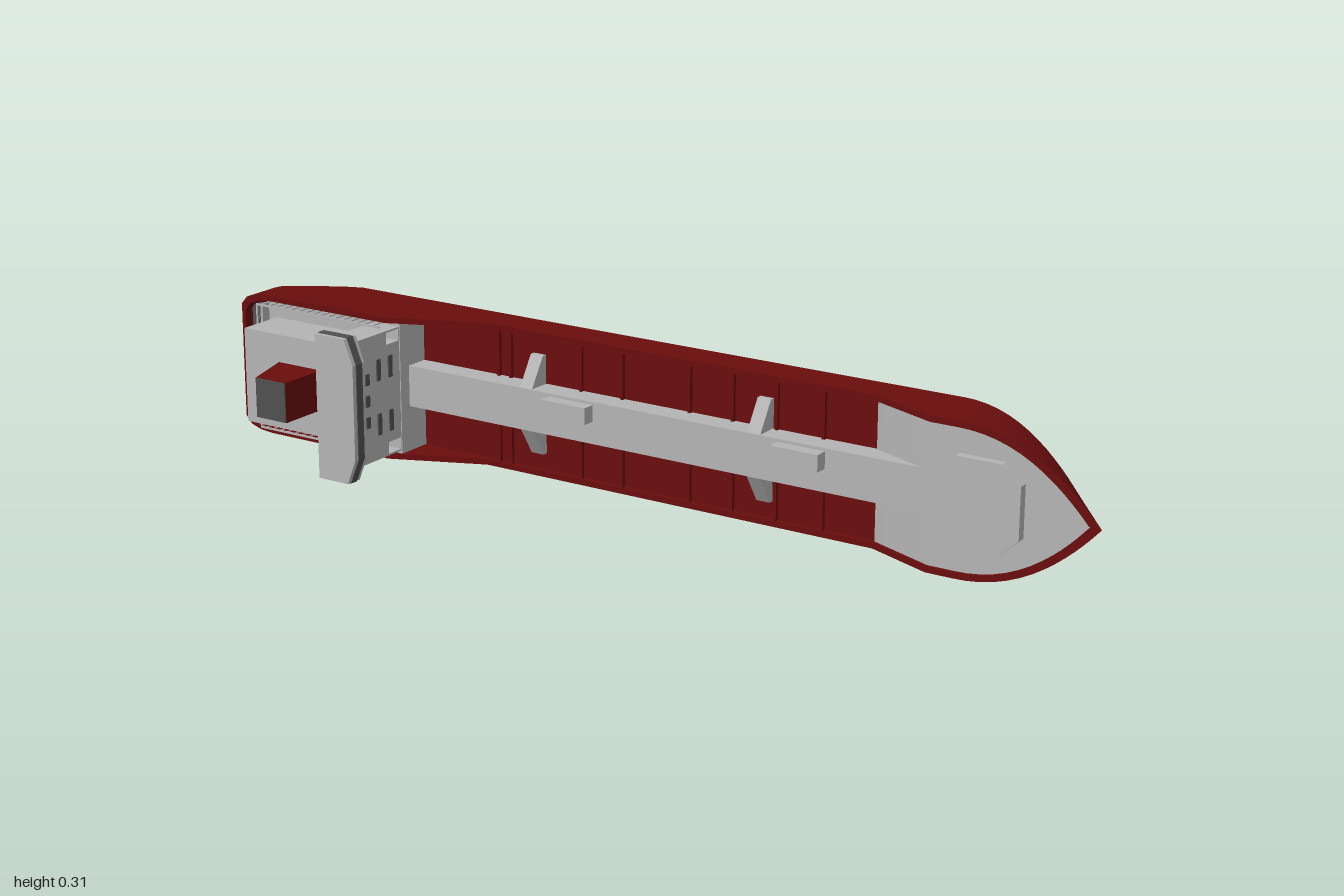
import * as THREE from 'three';
import { toCreasedNormals } from 'three/addons/utils/BufferGeometryUtils.js';

const red = new THREE.MeshStandardMaterial({ color: 0x6a0d0d, name: 'hullRed' });
const grey = new THREE.MeshStandardMaterial({ color: 0xb4b4b4, name: 'lightGrey' });
const dark = new THREE.MeshStandardMaterial({ color: 0x505050, name: 'darkGrey' });

// The ship lies on its side: bow to +x, deck facing +z, beam along y.
const HALF = 0.153, KEEL = -0.184, KNUCKLE = -0.108;

// Height of the hull's upper edge along the length
function sheer(x) {
  const pts = [[-1, -0.02], [-0.61, -0.02], [-0.414, -0.104], [0.5, -0.104], [0.645, -0.045], [1, -0.045]];
  for (let i = 1; i < pts.length; i++) {
    const [x0, z0] = pts[i - 1], [x1, z1] = pts[i];
    if (x <= x1) return z0 + (z1 - z0) * (x - x0) / (x1 - x0);
  }
  return -0.045;
}

// Half outline from stern centre to bow tip
function outline(stern, bowStart, bowTip) {
  const pts = [...stern, ...[-0.61, -0.414, 0.5, 0.645].map(x => [x, HALF])];
  for (let i = 0; i <= 16; i++) {
    const s = Math.sin(i / 16 * Math.PI / 2);
    pts.push([bowStart + (bowTip - bowStart) * s, Math.max(0, HALF * (1 - s ** 2.2))]);
  }
  return pts;
}

function geometryFrom(tris) {
  const g = new THREE.BufferGeometry();
  g.setAttribute('position', new THREE.Float32BufferAttribute(tris.flat(), 3));
  g.computeVertexNormals();
  return toCreasedNormals(g, 0.5);
}

// Skin between successive half rings, mirrored across the centreline
function loft(rings) {
  const t = [];
  const full = rings.map(r => [...r, ...r.slice(1, -1).reverse().map(([x, y, z]) => [x, -y, z])]);
  for (let k = 0; k + 1 < full.length; k++) {
    const n = full[k].length;
    for (let i = 0; i < n; i++) {
      const j = (i + 1) % n;
      const a = full[k][i], b = full[k][j], c = full[k + 1][i], d = full[k + 1][j];
      t.push(a, c, b, b, c, d);
    }
  }
  return geometryFrom(t);
}

// Flat surface between a half outline and its mirror image
function strip(pts, faceDown) {
  const t = [];
  for (let i = 0; i + 1 < pts.length; i++) {
    const p = pts[i], q = pts[i + 1], m = [p[0], -p[1], p[2]], n = [q[0], -q[1], q[2]];
    if (faceDown) t.push(p, n, m, p, q, n);
    else t.push(p, m, n, p, n, q);
  }
  return geometryFrom(t);
}

function shapeOf(pts) {
  return new THREE.Shape(pts.map(p => new THREE.Vector2(...p)));
}

export function createModel() {
  const ship = new THREE.Group();
  ship.name = 'tankerShip';
  ship.position.y = HALF;

  const add = (name, geo, mat) => {
    const m = new THREE.Mesh(geo, mat);
    m.name = name;
    ship.add(m);
    return m;
  };
  const box = (name, mat, x0, x1, y0, y1, z0, z1) =>
    add(name, new THREE.BoxGeometry(x1 - x0, y1 - y0, z1 - z0), mat)
      .position.set((x0 + x1) / 2, (y0 + y1) / 2, (z0 + z1) / 2);
  const slab = (name, mat, pts, z0, z1) =>
    add(name, new THREE.ExtrudeGeometry(shapeOf(pts), { depth: z1 - z0, bevelEnabled: false }), mat).position.z = z0;

  // Hull with bulwark
  const top = outline([[-1, 0], [-1, 0.125], [-0.985, 0.142], [-0.96, 0.15], [-0.93, HALF], [-0.8, HALF]], 0.7, 0.997);
  const base = outline([[-0.95, 0], [-0.945, 0.06], [-0.925, 0.1], [-0.895, 0.13], [-0.86, 0.147], [-0.8, HALF]], 0.64, 0.89);
  const bottomRing = base.map(([x, y]) => [x, y, KEEL]);
  const topRing = top.map(([x, y]) => [x, y, sheer(x)]);
  const midRing = top.map(([x, y], i) => {
    const f = x > 0 ? (KNUCKLE - KEEL) / (sheer(x) - KEEL) : 1;
    return [base[i][0] + (x - base[i][0]) * f, base[i][1] + (y - base[i][1]) * f, KNUCKLE];
  });
  const inner = top.map(([x, y]) => {
    const ix = x < -0.9 ? x + 0.01 : x > 0.7 ? x - 0.014 * (x - 0.7) / 0.297 : x;
    return [ix, Math.max(0, y - 0.012), sheer(x)];
  });
  const innerLow = inner.map(([x, y, z]) => [x, y, x > 0.45 ? z - 0.013 : -0.117]);
  add('hull', loft([bottomRing, midRing, topRing, inner, innerLow]), red);
  add('hullBottom', strip(bottomRing, true), red);

  // Decks
  const inside = HALF - 0.011;
  add('mainDeck', strip([[-0.59, inside, -0.115], [0.505, inside, -0.115]]), red);
  add('foreDeck', strip(inner.filter(p => p[0] > 0.49).map(([x, y, z]) => [x, y, z - 0.008])), grey);
  box('sternDeck', dark, -0.992, -0.93, -0.122, 0.122, -0.06, -0.042);
  box('poopDeck', grey, -0.94, -0.583, -0.141, 0.141, -0.115, -0.034);
  for (const x of [-0.385, -0.355, -0.18, -0.08, 0.08, 0.18, 0.28, 0.385])
    box('deckRib', red, x - 0.003, x + 0.003, -inside, inside, -0.116, -0.107);

  // Central pipe trunk with ramps and lockers
  box('pipeTrunk', grey, -0.59, 0.635, -0.044, 0.044, -0.117, -0.062);
  for (const x of [-0.285, 0.255]) {
    for (const s of [1, -1]) {
      const pts = [[0.04, -0.116], [0.105, -0.116], [0.105, -0.104], [0.044, -0.066], [0.04, -0.066]];
      const profile = pts.map(([y, z]) => [y * s, z]);
      const g = new THREE.ExtrudeGeometry(shapeOf(profile), { depth: 0.03, bevelEnabled: false });
      alongX(g, x - 0.015);
      add('trunkRamp', g, grey);
    }
  }
  for (const x of [-0.172, 0.363]) box('trunkLocker', grey, x - 0.053, x + 0.053, 0.003, 0.038, -0.064, -0.034);

  // Forecastle house
  slab('forecastleHouse', grey, [[0.705, -0.085], [0.8, -0.085], [0.84, -0.05], [0.84, 0.055], [0.8, 0.09], [0.705, 0.09]], -0.06, -0.034);

  // Deckhouse tower with a passage on each side
  const wall = shapeOf([[-0.134, -0.116], [0.134, -0.116], [0.134, 0.121], [-0.134, 0.121]]);
  for (const s of [1, -1]) {
    const hole = [[0.105, -0.032], [0.13, -0.032], [0.13, 0.008], [0.105, 0.008]];
    wall.holes.push(new THREE.Path(hole.map(([y, z]) => new THREE.Vector2(y * s, z))));
  }
  const tower = new THREE.ExtrudeGeometry(wall, { depth: 0.065, bevelEnabled: false });
  alongX(tower, -0.65);
  add('deckhouseTower', tower, grey);
  box('afterHouse', grey, -0.915, -0.645, -0.1, 0.104, -0.036, 0.07);

  // Tower windows
  const pane = (y0, y1, z) => box('towerWindow', dark, -0.586, -0.582, y0, y1, z - 0.006, z + 0.006);
  for (const y of [-0.046, 0, 0.046]) pane(y - 0.012, y + 0.012, 0.074);
  for (const z of [0.037, -0.001]) for (const y of [-0.058, 0.058]) pane(y - 0.023, y + 0.023, z);

  // Bridge with wrap-around window band
  const bridge = e => [[-0.648, -0.153 - e], [-0.573, -0.153 - e], [-0.552 + e, -0.1], [-0.552 + e, 0.1], [-0.573, 0.153 + e], [-0.648, 0.153 + e]];
  slab('bridge', grey, bridge(0), 0.12, 0.158);
  slab('bridgeWindows', dark, bridge(0.0015), 0.129, 0.148);

  // Funnel with dark cap
  const funnel = new THREE.BoxGeometry(0.115, 0.085, 0.12);
  const pos = funnel.attributes.position;
  for (let i = 0; i < pos.count; i++) if (pos.getZ(i) > 0 && pos.getX(i) < 0) pos.setX(i, -0.02);
  funnel.computeVertexNormals();
  add('funnel', funnel, red).position.set(-0.768, 0.002, 0.122);
  box('funnelCap', dark, -0.788, -0.711, -0.04, 0.044, 0.181, 0.184);

  // Poop railing
  box('poopCoaming', grey, -0.942, -0.936, -0.134, 0.134, -0.036, -0.013);
  box('sternRail', grey, -0.942, -0.938, -0.136, 0.136, -0.002, 0.001);
  for (let y = -0.134; y < 0.14; y += 0.0268) box('railPost', grey, -0.941, -0.939, y - 0.001, y + 0.001, -0.014, 0);
  for (const s of [1, -1]) {
    box('sideRail', grey, -0.942, -0.61, s * 0.136 - 0.002, s * 0.136 + 0.002, -0.002, 0.001);
    for (let x = -0.93; x < -0.61; x += 0.02) box('railPost', grey, x - 0.001, x + 0.001, s * 0.136 - 0.001, s * 0.136 + 0.001, -0.036, 0);
  }
  return ship;
}

// Turns an extrusion drawn in (y, z) so that its depth runs along x
function alongX(geometry, x) {
  const m = new THREE.Matrix4().makeBasis(new THREE.Vector3(0, 1, 0), new THREE.Vector3(0, 0, 1), new THREE.Vector3(1, 0, 0));
  geometry.applyMatrix4(m).translate(x, 0, 0);
}
